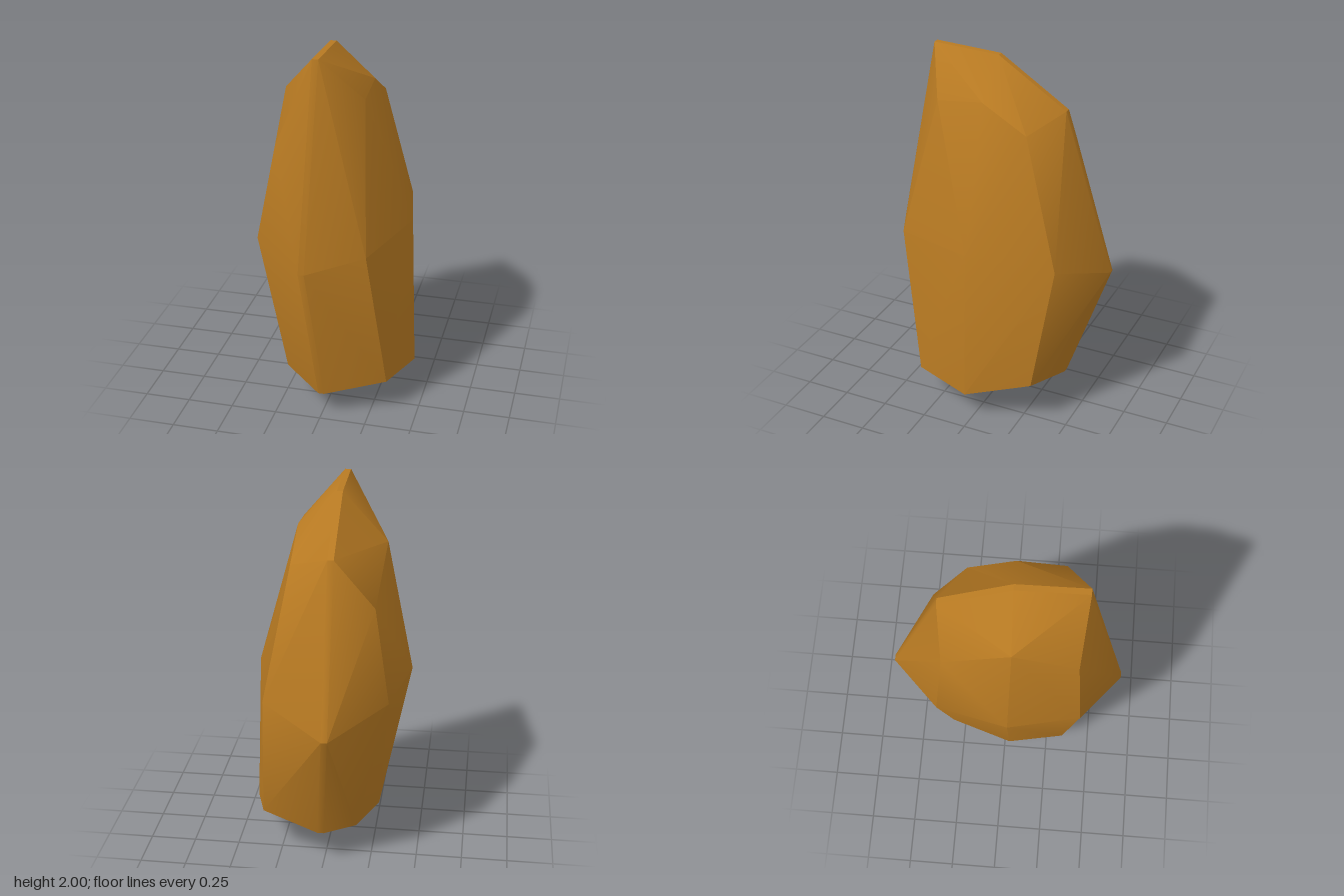
import * as THREE from 'three';
import { toCreasedNormals } from 'three/addons/utils/BufferGeometryUtils.js';

// Each ring runs: front, front left, left, back left, back, back right, right, front right
const TOP = [[-0.035, 2, 0.4], [0.19, 1.77, 0.28], [0.185, 1.8, 0.03], [0.19, 1.66, -0.22],
  [-0.035, 1.74, -0.35], [-0.26, 1.48, -0.32], [-0.29, 1.72, 0.04], [-0.255, 1.52, 0.38]];
const MIDDLE = [[-0.06, 0.93, 0.625], [0.245, 0.99, 0.48], [0.4, 1.02, 0.03], [0.31, 0.98, -0.44],
  [-0.035, 0.86, -0.625], [-0.34, 0.97, -0.36], [-0.435, 1.01, 0.03], [-0.35, 1.01, 0.415]];
const BOTTOM = [[0, 0.135, 0.465], [0.335, 0.19, 0.35], [0.43, 0.16, 0.03], [0.34, 0.265, -0.325],
  [0.015, 0.19, -0.4], [-0.17, 0.2, -0.31], [-0.265, 0.155, 0.03], [-0.22, 0.21, 0.34]];
const TOP_CENTRE = [-0.035, 1.985, 0.03];
const BOTTOM_CENTRE = [0.075, 0, 0.03];
const BEVEL = 0.016;

const point = ([x, y, z], dx = 0) => new THREE.Vector3(x + dx, y, z);

// Split the front and back points in two to make the narrow worn ridge
function ring(points) {
  return points.flatMap((p, i) => {
    if (i === 0) return [point(p, -BEVEL), point(p, BEVEL)];
    if (i === 4) return [point(p, BEVEL), point(p, -BEVEL)];
    return [point(p)];
  });
}

// Add a quad, cut along whichever diagonal bulges outward
function addQuad(out, a, b, c, d) {
  const ac = c.clone().sub(a), bd = d.clone().sub(b);
  const normal = ac.clone().cross(bd);
  const gap = a.clone().add(c).sub(b).sub(d);
  const corners = gap.dot(normal) >= 0 ? [a, b, c, a, c, d] : [a, b, d, b, c, d];
  corners.forEach((p) => out.push(p.x, p.y, p.z));
}

// Six facets around the centre ridge of a cap
function addCap(out, r, centre, flip) {
  const l = point(centre, -BEVEL), m = point(centre, BEVEL);
  const quads = [[r[0], r[1], m, l], [r[1], r[2], r[3], m], [m, r[3], r[4], r[5]],
    [l, m, r[5], r[6]], [r[8], l, r[6], r[7]], [r[9], r[0], l, r[8]]];
  quads.forEach((q) => addQuad(out, ...(flip ? q.reverse() : q)));
}

export function createModel() {
  const rings = [BOTTOM, MIDDLE, TOP].map(ring);
  const positions = [];

  // Side facets
  for (let k = 0; k < 2; k++) {
    const low = rings[k], high = rings[k + 1];
    low.forEach((p, i) => {
      const j = (i + 1) % low.length;
      addQuad(positions, p, low[j], high[j], high[i]);
    });
  }
  addCap(positions, rings[2], TOP_CENTRE, false);
  addCap(positions, rings[0], BOTTOM_CENTRE, true);

  const geometry = new THREE.BufferGeometry();
  geometry.setAttribute('position', new THREE.Float32BufferAttribute(positions, 3));

  const ochre = new THREE.MeshStandardMaterial({ color: 0xb87a22 });
  ochre.name = 'ochre stone';

  // Faceted stone with soft shallow edges and sharp steep ones
  const stone = new THREE.Mesh(toCreasedNormals(geometry, 0.5), ochre);
  stone.name = 'stone';

  const group = new THREE.Group();
  group.name = 'facetedStone';
  group.add(stone);
  return group;
}
